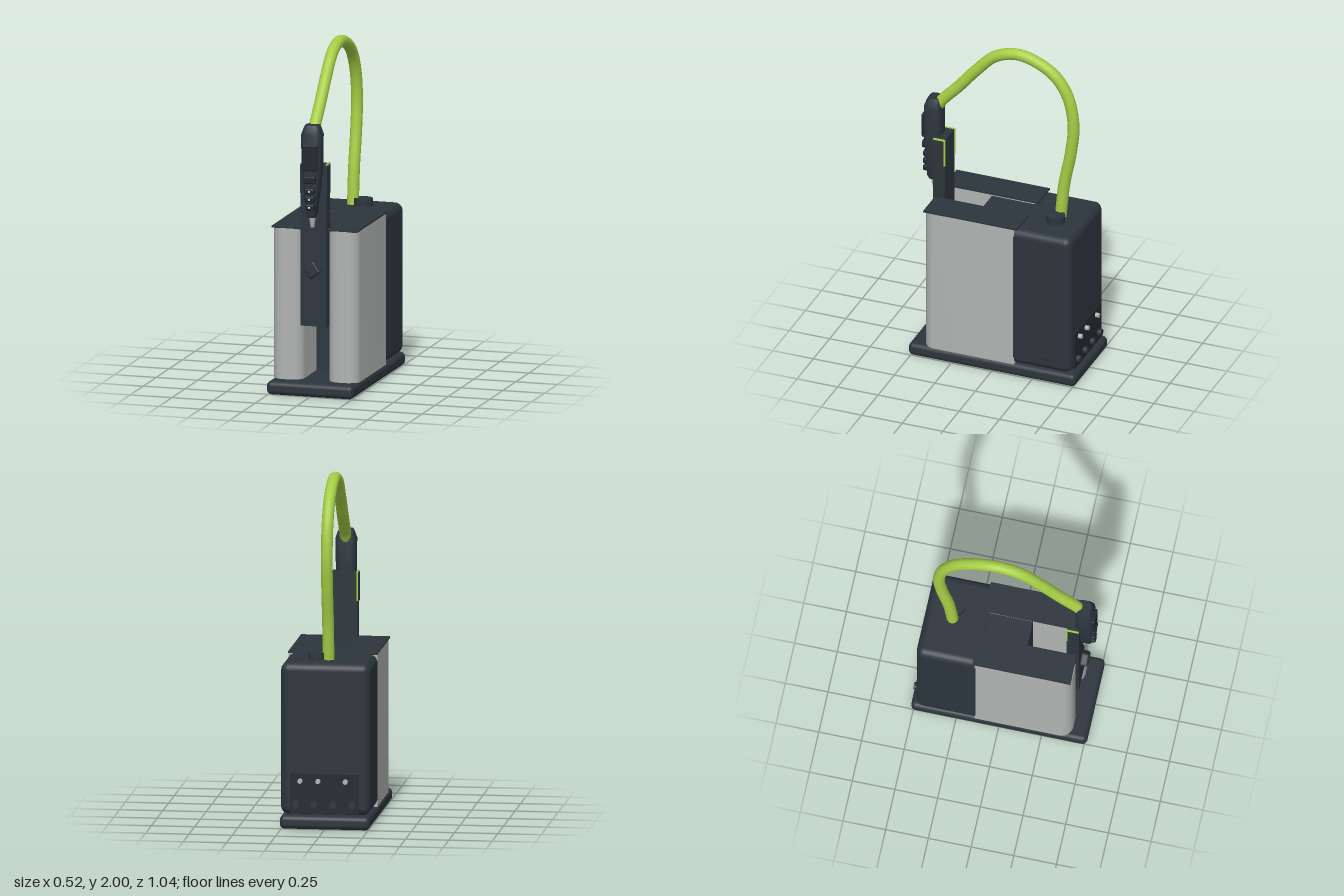
import * as THREE from 'three';
import { toCreasedNormals } from 'three/addons/utils/BufferGeometryUtils.js';
import { RoundedBoxGeometry } from 'three/addons/geometries/RoundedBoxGeometry.js';

const mat = (name, color) => {
  const m = new THREE.MeshStandardMaterial({ color });
  m.name = name;
  return m;
};

// Lofts rounded-rectangle rings [y, halfWidth, centreZ, halfDepth], lowest ring first
function loft(rings, sides = 32) {
  const pos = [], idx = [];
  const pow = (v) => Math.sign(v) * Math.pow(Math.abs(v), 0.55);
  for (const [y, w, zc, d] of rings) {
    for (let j = 0; j < sides; j++) {
      const a = (j / sides) * Math.PI * 2;
      pos.push(w * pow(Math.cos(a)), y, zc + d * pow(Math.sin(a)));
    }
  }
  for (let i = 0; i < rings.length - 1; i++) {
    for (let j = 0; j < sides; j++) {
      const a = i * sides + j, b = i * sides + (j + 1) % sides;
      idx.push(a, a + sides, b, b, a + sides, b + sides);
    }
  }
  const top = (rings.length - 1) * sides;
  for (let j = 1; j < sides - 1; j++) {
    idx.push(0, j, j + 1, top, top + j + 1, top + j);
  }
  const g = new THREE.BufferGeometry();
  g.setAttribute('position', new THREE.Float32BufferAttribute(pos, 3));
  g.setIndex(idx);
  return toCreasedNormals(g, 0.6);
}

// Upright column with rounded front corners, from a plan outline
function columnGeometry(x0, x1, zBack, zFront, r, y0, y1) {
  const s = new THREE.Shape();
  s.moveTo(x0, -zBack);
  s.lineTo(x0, -zFront + r);
  s.absarc(x0 + r, -zFront + r, r, Math.PI, Math.PI * 1.5, false);
  s.lineTo(x1 - r, -zFront);
  s.absarc(x1 - r, -zFront + r, r, Math.PI * 1.5, Math.PI * 2, false);
  s.lineTo(x1, -zBack);
  s.closePath();
  const g = new THREE.ExtrudeGeometry(s, { depth: y1 - y0, bevelEnabled: false, curveSegments: 12 });
  g.rotateX(-Math.PI / 2);
  g.translate(0, y0, 0);
  return toCreasedNormals(g, 0.6);
}

export function createModel() {
  const model = new THREE.Group();
  model.name = 'consoleWithHandpiece';
  const dark = mat('slate', 0x2c353d);
  const black = mat('charcoal', 0x222930);
  const grey = mat('lightGrey', 0xb0b4b2);
  const lime = mat('lime', 0xa5cd44);
  const white = mat('white', 0xe8ecec);

  const add = (name, geo, material, x = 0, y = 0, z = 0, parent = model) => {
    const m = new THREE.Mesh(geo, material);
    m.name = name;
    m.position.set(x, y, z);
    parent.add(m);
    return m;
  };
  // Boxes given by their extents; r rounds the edges
  const box = (name, material, [x0, x1], [y0, y1], [z0, z1], r = 0) => {
    const size = [x1 - x0, y1 - y0, z1 - z0];
    const geo = r ? new RoundedBoxGeometry(...size, 5, r) : new THREE.BoxGeometry(...size);
    return add(name, geo, material, (x0 + x1) / 2, (y0 + y1) / 2, (z0 + z1) / 2);
  };
  const rod = (name, material, r0, r1, len, x, y, z, sides = 20) => {
    const g = new THREE.CylinderGeometry(r0, r1, len, sides);
    g.rotateX(Math.PI / 2);
    return add(name, g, material, x, y, z);
  };

  // Base and rear housing
  box('base', dark, [-0.26, 0.26], [0, 0.078], [-0.515, 0.515], 0.028);
  box('rearHousing', dark, [-0.258, 0.258], [0.08, 0.96], [-0.487, -0.1], 0.045);
  box('centreBlock', dark, [-0.08, 0.08], [0.07, 0.955], [-0.15, 0.13]);

  // Side towers with flat lids
  for (const s of [-1, 1]) {
    const [a, b] = s > 0 ? [0.076, 0.257] : [-0.257, -0.076];
    add('sideTower', columnGeometry(a, b, -0.14, 0.424, 0.07, 0.076, 0.961), grey);
    box('towerLid', dark, [a, b], [0.96, 0.97], [-0.155, 0.42]);
    // Service mark low on the housing flank
    box('flankMark', black, s > 0 ? [0.255, 0.2595] : [-0.2595, -0.255], [0.148, 0.154], [-0.39, -0.28]);
  }

  // Front holder arm with lime clips
  box('holderArm', dark, [-0.077, 0.077], [0.4, 1.347], [0.36, 0.432]);
  for (const s of [-1, 1]) {
    const side = (p, q) => (s > 0 ? [p, q] : [-q, -p]);
    box('limeClip', lime, side(0.07, 0.079), [1.18, 1.351], [0.357, 0.43]);
    box('clipInset', dark, side(0.075, 0.081), [1.175, 1.342], [0.366, 0.434]);
  }
  const knob = box('knob', dark, [-0.04, 0.04], [0.695, 0.775], [0.425, 0.476], 0.014);
  knob.rotation.z = 0.62;

  // Handpiece body
  add('handpieceBody', loft([
    [1.045, 0.02, 0.46, 0.024],
    [1.07, 0.03, 0.46, 0.034],
    [1.2, 0.045, 0.455, 0.044],
    [1.32, 0.058, 0.453, 0.052],
    [1.53, 0.061, 0.453, 0.053],
    [1.57, 0.048, 0.45, 0.042],
    [1.585, 0.04, 0.45, 0.034],
  ]), dark);
  add('handpieceTip', new THREE.CylinderGeometry(0.021, 0.011, 0.07, 20), grey, 0, 1.02, 0.453).rotation.x = 0.06;

  // Handpiece screen and buttons
  box('screen', black, [-0.045, 0.045], [1.325, 1.478], [0.49, 0.517], 0.008);
  box('modeKey', black, [-0.036, 0.036], [1.25, 1.294], [0.48, 0.52], 0.008);
  for (const y of [1.205, 1.158, 1.112]) {
    box('button', black, [-0.028, 0.028], [y - 0.018, y + 0.018], [0.48, 0.518], 0.012);
    rod('buttonMark', white, 0.006, 0.006, 0.004, 0, y, 0.518, 12);
  }

  // Hose and its collar
  const path = new THREE.CatmullRomCurve3([
    [0.96, -0.325], [1.18, -0.348], [1.39, -0.388], [1.58, -0.404], [1.765, -0.364],
    [1.89, -0.27], [1.966, -0.08], [1.93, 0.07], [1.81, 0.195], [1.685, 0.3], [1.57, 0.405], [1.53, 0.43],
  ].map(([y, z]) => new THREE.Vector3(0, y, z)));
  add('hose', new THREE.TubeGeometry(path, 90, 0.034, 20), lime);
  add('hoseCollar', new THREE.CylinderGeometry(0.054, 0.054, 0.05, 32), dark, 0.065, 0.977, -0.32);

  // Rear connector panel
  box('connectorPanel', black, [-0.198, 0.2], [0.09, 0.32], [-0.493, -0.48]);
  for (const x of [-0.12, 0.038, 0.142]) {
    rod('metalConnector', grey, 0.014, 0.014, 0.035, x, 0.28, -0.498);
  }
  for (const x of [-0.16, -0.05, 0.06, 0.165]) {
    rod('darkConnector', dark, 0.021, 0.021, 0.035, x, 0.145, -0.498);
  }
  return model;
}
